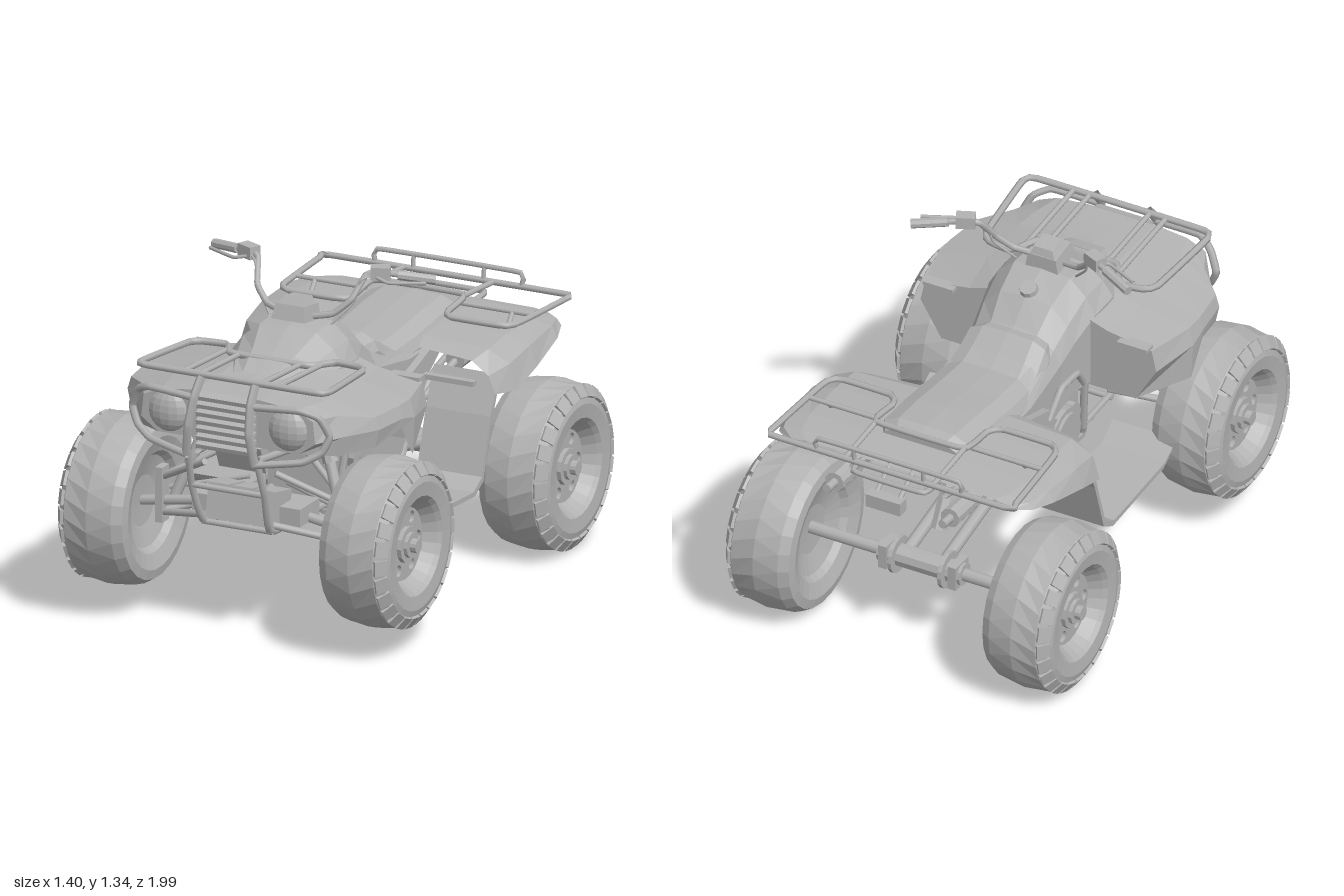
import * as THREE from 'three';

const V = (p) => new THREE.Vector3(...p);

// Faceted normals
function flat(geo) {
  const g = geo.index ? geo.toNonIndexed() : geo;
  g.computeVertexNormals();
  return g;
}

// Bent pipe through a few points
function pipe(pts, r, closed = false, sides = 6) {
  const curve = new THREE.CatmullRomCurve3(pts.map(V), closed, 'catmullrom', 0.18);
  return new THREE.TubeGeometry(curve, pts.length * 6, r, sides, closed);
}

// Straight round rod between two points
function rod(a, b, r, sides = 8) {
  const d = V(b).sub(V(a));
  const g = new THREE.CylinderGeometry(r, r, d.length(), sides);
  g.applyQuaternion(new THREE.Quaternion().setFromUnitVectors(V([0, 1, 0]), d.clone().normalize()));
  const m = V(a).add(V(b)).multiplyScalar(0.5);
  return g.translate(m.x, m.y, m.z);
}

function box(w, h, d, x, y, z, rx = 0) {
  return flat(new THREE.BoxGeometry(w, h, d).rotateX(rx).translate(x, y, z));
}

// Mirrored shell: each section is [z, [[x, y], ...]] from the centre line outwards
const fullRow = (h) => [...h.slice(1).reverse().map(([x, y]) => [-x, y]), ...h];
function shell(sections) {
  const pos = [], idx = [];
  const n = sections[0][1].length * 2 - 1;
  sections.forEach(([z, h]) => fullRow(h).forEach(([x, y]) => pos.push(x, y, z)));
  for (let i = 0; i < sections.length - 1; i++) {
    for (let j = 0; j < n - 1; j++) {
      const a = i * n + j, b = a + 1, c = a + n, d = c + 1;
      idx.push(a, c, b, b, c, d);
    }
  }
  const g = new THREE.BufferGeometry();
  g.setAttribute('position', new THREE.Float32BufferAttribute(pos, 3));
  g.setIndex(idx);
  return flat(g);
}

// Flat wall closing one shell section
function wall([z, h]) {
  return new THREE.ShapeGeometry(new THREE.Shape(fullRow(h).map((p) => new THREE.Vector2(...p)))).translate(0, 0, z);
}

// Side outline in (z, y) extruded from x0 to x1
function sidePlate(pts, x0, x1) {
  const s = new THREE.Shape(pts.map(([z, y]) => new THREE.Vector2(z, y)));
  return flat(new THREE.ExtrudeGeometry(s, { depth: x1 - x0, bevelEnabled: false }).rotateY(-Math.PI / 2).translate(x1, 0, 0));
}

export function createModel() {
  const grey = new THREE.MeshStandardMaterial({ color: 0xb2b2b2, side: THREE.DoubleSide });
  grey.name = 'plain grey';
  const model = new THREE.Group();
  model.name = 'quadBike';

  const add = (name, geo, parent = model) => {
    const m = new THREE.Mesh(geo, grey);
    m.name = name;
    parent.add(m);
    return m;
  };
  const pair = (name, geo) => {
    add(name + 'Left', geo);
    add(name + 'Right', geo).scale.x = -1;
  };

  // Wheels, outer face towards +x
  function wheel(name) {
    const g = new THREE.Group();
    g.name = name;
    const N = 26;
    const profile = [[0, -0.07], [0.1, -0.075], [0.18, -0.1], [0.2, -0.125], [0.26, -0.145], [0.298, -0.138], [0.32, -0.1], [0.333, 0],
      [0.32, 0.1], [0.293, 0.13], [0.25, 0.142], [0.195, 0.136], [0.18, 0.12], [0.14, 0.055], [0, 0.045]];
    const tyre = new THREE.LatheGeometry(profile.map((p) => new THREE.Vector2(...p)), N);
    const p = tyre.attributes.position, v = new THREE.Vector3();
    for (let i = 0; i < p.count; i++) {
      v.fromBufferAttribute(p, i);
      if (Math.abs(v.y) < 0.01) v.applyAxisAngle(V([0, 1, 0]), Math.PI / N);
      p.setXYZ(i, v.x, v.y, v.z);
    }
    add('tyre', flat(tyre.rotateZ(-Math.PI / 2)), g);
    for (let i = 0; i < N; i++) {
      const lug = new THREE.BoxGeometry(0.024, 0.055, 0.058).rotateZ(0.62).translate(0.119, 0.293, 0).rotateX((i + 0.5) * 2 * Math.PI / N);
      add('treadLug', flat(lug), g);
    }
    // Rim face with six openings
    const disc = new THREE.Shape().absarc(0, 0, 0.143, 0, Math.PI * 2);
    for (let i = 0; i < 6; i++) {
      const a = i * Math.PI / 3;
      disc.holes.push(new THREE.Path().absarc(0.108 * Math.cos(a), 0.108 * Math.sin(a), 0.023, 0, Math.PI * 2, true));
    }
    add('rimFace', flat(new THREE.ExtrudeGeometry(disc, { depth: 0.015, bevelEnabled: false, curveSegments: 10 }).rotateY(Math.PI / 2).translate(0.062, 0, 0)), g);
    for (const [part, r, x0, x1] of [['hub', 0.072, 0.05, 0.095], ['hubRing', 0.05, 0.09, 0.11], ['hubCap', 0.028, 0.1, 0.135]]) {
      add(part, flat(rod([x0, 0, 0], [x1, 0, 0], r, 12)), g);
    }
    return g;
  }
  for (const [end, y, z] of [['front', 0.432, 0.667], ['rear', 0.335, -0.665]]) {
    for (const [side, s] of [['Left', 1], ['Right', -1]]) {
      const w = wheel(end + 'Wheel' + side);
      w.position.set(s * 0.557, y, z);
      w.scale.x = s;
      model.add(w);
    }
  }

  // Front fenders and nose
  const nose = [
    [0.9, [[0, 1.0], [0.14, 1.0], [0.28, 0.985], [0.36, 0.95], [0.37, 0.86], [0.3, 0.81]]],
    [0.8, [[0, 1.0], [0.14, 1.0], [0.31, 0.98], [0.41, 0.95], [0.44, 0.87], [0.42, 0.79]]],
    [0.69, [[0, 1.005], [0.14, 1.0], [0.33, 0.975], [0.52, 0.93], [0.535, 0.88], [0.52, 0.81]]],
    [0.53, [[0, 1.02], [0.14, 1.01], [0.33, 0.97], [0.54, 0.93], [0.555, 0.88], [0.55, 0.84]]],
    [0.44, [[0, 1.02], [0.16, 1.01], [0.33, 0.97], [0.54, 0.93], [0.56, 0.86], [0.55, 0.71]]],
    [0.24, [[0, 1.0], [0.18, 1.0], [0.3, 0.96], [0.49, 0.93], [0.51, 0.84], [0.42, 0.69]]],
  ];
  add('frontFenders', shell(nose));
  add('noseWall', wall(nose[0]));
  add('fenderRearWall', wall(nose[5]));
  pair('fenderRidge', box(0.13, 0.015, 0.05, 0.42, 0.94, 0.235));
  pair('headlight', flat(new THREE.SphereGeometry(0.084, 14, 10).scale(1, 1, 0.5).translate(0.255, 0.9, 0.895)));
  for (let i = 0; i < 7; i++) add('grilleSlat', box(0.24, 0.018, 0.04, 0, 0.795 + i * 0.032, 0.915, 0.3));

  // Tank and side covers
  add('tankCover', shell([
    [0.66, [[0, 1.012], [0.06, 1.012], [0.1, 1.005], [0.12, 0.98], [0.12, 0.9]]],
    [0.52, [[0, 1.06], [0.09, 1.055], [0.16, 1.02], [0.19, 0.98], [0.2, 0.88]]],
    [0.4, [[0, 1.125], [0.12, 1.115], [0.19, 1.06], [0.235, 1.0], [0.24, 0.82]]],
    [0.27, [[0, 1.135], [0.12, 1.125], [0.19, 1.06], [0.23, 0.99], [0.23, 0.7]]],
    [0.14, [[0, 1.085], [0.11, 1.07], [0.18, 1.0], [0.21, 0.93], [0.21, 0.71]]],
    [0.05, [[0, 1.0], [0.1, 0.99], [0.17, 0.94], [0.2, 0.88], [0.2, 0.68]]],
    [-0.2, [[0, 0.89], [0.12, 0.885], [0.19, 0.87], [0.21, 0.84], [0.21, 0.63]]],
    [-0.4, [[0, 0.89], [0.12, 0.885], [0.19, 0.87], [0.21, 0.84], [0.21, 0.78]]],
  ]));
  add('fuelCap', flat(new THREE.CylinderGeometry(0.034, 0.038, 0.03, 10).rotateX(-0.4).translate(0, 1.098, 0.165)));

  // Seat
  const seatRow = (z, y, w) => [z, [[0, y], [w * 0.6, y - 0.005], [w * 0.9, y - 0.03], [w, y - 0.07], [w * 0.98, y - 0.11]]];
  const seat = [[0.06, 0.99, 0.16], [0.0, 1.0, 0.18], [-0.08, 0.945, 0.19], [-0.14, 0.915, 0.2], [-0.3, 0.925, 0.205],
    [-0.48, 0.945, 0.205], [-0.64, 0.955, 0.2], [-0.69, 0.94, 0.17]].map((s) => seatRow(...s));
  add('seat', shell(seat));
  add('seatFrontWall', wall(seat[0]));
  add('seatBackWall', wall(seat[7]));

  // Rear fenders
  add('rearFenders', shell([
    [-0.29, [[0, 0.86], [0.2, 0.86], [0.43, 0.84], [0.5, 0.79], [0.53, 0.72]]],
    [-0.35, [[0, 0.89], [0.2, 0.89], [0.47, 0.875], [0.56, 0.83], [0.59, 0.73]]],
    [-0.5, [[0, 0.9], [0.2, 0.9], [0.47, 0.89], [0.57, 0.86], [0.6, 0.78]]],
    [-0.7, [[0, 0.9], [0.2, 0.9], [0.47, 0.89], [0.56, 0.875], [0.585, 0.83]]],
    [-0.8, [[0, 0.89], [0.2, 0.89], [0.45, 0.885], [0.53, 0.87], [0.55, 0.845]]],
    [-0.85, [[0, 0.88], [0.2, 0.88], [0.41, 0.878], [0.47, 0.868], [0.49, 0.855]]],
  ]));
  pair('sideGuard', sidePlate([[-0.1, 0.78], [-0.35, 0.86], [-0.4, 0.82], [-0.28, 0.74], [-0.2, 0.56], [-0.16, 0.58], [-0.14, 0.7]], 0.2, 0.24));

  // Footboards rising to the rear fenders
  const board = [[0.36, 0.44], [0.27, 0.385], [-0.13, 0.36], [-0.2, 0.4], [-0.27, 0.62], [-0.34, 0.77]];
  pair('footboard', sidePlate([...board, ...board.map(([z, y]) => [z + 0.012, y + 0.02]).reverse()], 0.25, 0.525));
  pair('footboardBracket', box(0.22, 0.02, 0.03, 0.345, 0.76, -0.265));

  // Engine
  add('engineBlock', box(0.32, 0.3, 0.46, 0, 0.55, 0.03));
  add('engineTop', box(0.24, 0.2, 0.28, 0, 0.74, 0.05));
  add('underTray', box(0.3, 0.02, 0.5, 0, 0.395, 0.09, 0.06));
  pair('clutchCover', flat(rod([0.12, 0.56, 0.07], [0.215, 0.56, 0.07], 0.11, 16)));
  pair('clutchPlate', flat(rod([0.2, 0.56, 0.07], [0.228, 0.56, 0.07], 0.09, 16)));
  pair('crankCover', flat(rod([0.12, 0.57, -0.065], [0.205, 0.57, -0.065], 0.12, 16)));
  pair('starterCover', flat(rod([0.12, 0.57, 0.17], [0.19, 0.57, 0.17], 0.06, 10)));
  pair('sideArch', pipe([[0.215, 0.72, 0.2], [0.222, 0.8, 0.14], [0.22, 0.8, 0.02], [0.21, 0.7, -0.06]], 0.015));

  // Frame pipes and front cage
  pair('lowerFrame', pipe([[0.145, 0.78, 0.95], [0.155, 0.62, 0.9], [0.14, 0.45, 0.82], [0.14, 0.42, 0.33], [0.16, 0.38, -0.12], [0.18, 0.45, -0.2], [0.18, 0.78, -0.36]], 0.015));
  pair('downTube', pipe([[0.16, 0.42, 0.3], [0.19, 0.72, 0.26]], 0.015));
  pair('upperFrame', pipe([[0.13, 0.76, 0.9], [0.16, 0.72, 0.5], [0.18, 0.7, 0.25]], 0.015));
  for (const [y, z] of [[0.62, 0.9], [0.45, 0.82], [0.43, 0.68], [0.42, 0.55], [0.42, 0.4]]) {
    add('cageBar', rod([-0.15, y, z], [0.15, y, z], 0.012));
  }
  add('frontGearCase', box(0.46, 0.07, 0.16, 0, 0.495, 0.67));
  for (const x of [-0.1, 0, 0.1]) add('gearCaseRib', box(0.085, 0.14, 0.14, x, 0.515, 0.73, -0.2));
  add('radiator', box(0.2, 0.12, 0.05, 0, 0.73, 0.78, 0.4));

  // Front suspension
  for (const z of [0.53, 0.8]) {
    pair('upperArm', rod([0.15, 0.68, z], [0.4, 0.54, 0.667], 0.013));
    pair('lowerArm', rod([0.14, 0.47, z], [0.41, 0.4, 0.667], 0.014));
  }
  pair('steeringRod', rod([0.08, 0.56, 0.56], [0.4, 0.48, 0.6], 0.01));
  pair('steeringKnuckle', box(0.03, 0.22, 0.06, 0.4, 0.475, 0.667));
  pair('frontHubShaft', rod([0.2, 0.48, 0.667], [0.5, 0.432, 0.667], 0.02));
  pair('frontShock', rod([0.22, 0.84, 0.56], [0.36, 0.46, 0.64], 0.022));
  pair('frontShockBody', flat(rod([0.22, 0.84, 0.56], [0.28, 0.68, 0.59], 0.032)));

  // Rear axle, swing arm and shock
  add('rearAxle', rod([-0.49, 0.345, -0.665], [0.49, 0.345, -0.665], 0.026, 10));
  add('axleHousing', flat(rod([-0.18, 0.345, -0.665], [0.18, 0.345, -0.665], 0.046, 10)));
  pair('axleDisc', flat(rod([0.1, 0.345, -0.665], [0.116, 0.345, -0.665], 0.075, 16)));
  pair('swingArm', rod([0.08, 0.46, -0.18], [0.08, 0.36, -0.64], 0.026));
  pair('axleClamp', box(0.035, 0.1, 0.1, 0.15, 0.345, -0.665));
  add('rearShock', flat(rod([0, 0.8, -0.32], [0, 0.42, -0.54], 0.036)));
  pair('subFrame', pipe([[0.18, 0.5, -0.2], [0.2, 0.72, -0.42], [0.2, 0.83, -0.86]], 0.014));

  // Mufflers
  pair('muffler', flat(rod([0.25, 0.75, -0.5], [0.25, 0.775, -0.91], 0.04, 10)));
  pair('tailPipe', rod([0.25, 0.775, -0.9], [0.25, 0.78, -0.97], 0.018));
  pair('exhaustPipe', pipe([[0.17, 0.6, -0.15], [0.22, 0.66, -0.3], [0.25, 0.75, -0.52]], 0.016));

  // Tail light
  pair('tailBracket', rod([0.05, 0.88, -0.83], [0.05, 0.81, -0.95], 0.01));
  add('tailLight', box(0.15, 0.055, 0.05, 0, 0.795, -0.96));
  add('tailBar', pipe([[-0.16, 0.87, -0.83], [-0.15, 0.875, -0.94], [0.15, 0.875, -0.94], [0.16, 0.87, -0.83]], 0.012));

  // Front rack
  const fr = (x, z) => [x, 1.03 + (z - 0.45) * 0.07, z];
  add('frontRackRail', pipe([fr(-0.36, 0.88), fr(0.36, 0.88), fr(0.4, 0.83), fr(0.37, 0.5), fr(0.33, 0.46), fr(0.23, 0.45), fr(0.17, 0.55), fr(0, 0.56),
    fr(-0.17, 0.55), fr(-0.23, 0.45), fr(-0.33, 0.46), fr(-0.37, 0.5), fr(-0.4, 0.83)], 0.014, true));
  pair('frontRackInnerBar', rod(fr(0.13, 0.88), fr(0.13, 0.55), 0.011));
  pair('frontRackOuterBar', rod(fr(0.2, 0.88), fr(0.2, 0.5), 0.011));

  // Bumper
  pair('bumperLoop', pipe([[0.12, 0.985, 0.945], [0.32, 0.995, 0.93], [0.385, 0.965, 0.895], [0.42, 0.89, 0.875], [0.39, 0.825, 0.89], [0.32, 0.785, 0.92], [0.14, 0.76, 0.965]], 0.015));
  pair('bumperUpright', pipe([[0.115, 1.055, 0.9], [0.12, 0.99, 0.95], [0.13, 0.88, 0.98], [0.145, 0.76, 0.965]], 0.019, false, 4));

  // Rear rack
  add('rearRackRail', pipe([[-0.5, 0.92, -0.935], [0.5, 0.92, -0.935], [0.525, 0.92, -0.9], [0.5, 0.925, -0.54], [0.46, 0.925, -0.485], [0.24, 0.925, -0.485], [0.2, 0.925, -0.53], [0.19, 0.945, -0.695],
    [-0.19, 0.945, -0.695], [-0.2, 0.925, -0.53], [-0.24, 0.925, -0.485], [-0.46, 0.925, -0.485], [-0.5, 0.925, -0.54], [-0.525, 0.92, -0.9]], 0.013, true));
  pair('rearRackBar', rod([0.19, 0.94, -0.69], [0.19, 0.92, -0.935], 0.011));
  pair('rearRackCrossbar', rod([0.2, 0.925, -0.65], [0.51, 0.925, -0.65], 0.01));
  pair('rearRackPost', rod([0.42, 0.87, -0.6], [0.42, 0.925, -0.65], 0.01));
  add('rearRackBackRail', pipe([[-0.31, 0.92, -0.935], [-0.3, 0.975, -0.94], [0.3, 0.975, -0.94], [0.31, 0.92, -0.935]], 0.01));
  pair('backRailPost', rod([0.15, 0.92, -0.935], [0.15, 0.975, -0.94], 0.009));

  // Handlebar and controls
  add('steeringColumn', rod([0, 0.95, 0.4], [0, 1.17, 0.31], 0.03));
  add('instrumentPod', flat(new THREE.CylinderGeometry(0.085, 0.1, 0.06, 4).rotateY(Math.PI / 4).rotateX(-0.15).translate(0, 1.165, 0.33)));
  add('instrumentTop', flat(new THREE.CylinderGeometry(0.055, 0.08, 0.035, 4).rotateY(Math.PI / 4).rotateX(-0.15).translate(0, 1.205, 0.32)));
  pair('handlebar', pipe([[0, 1.155, 0.32], [0.06, 1.15, 0.32], [0.14, 1.165, 0.3], [0.2, 1.22, 0.265], [0.23, 1.305, 0.2], [0.28, 1.315, 0.175], [0.46, 1.29, 0.095]], 0.013));
  pair('grip', flat(rod([0.34, 1.305, 0.15], [0.47, 1.288, 0.092], 0.019)));
  pair('switchBox', flat(new THREE.BoxGeometry(0.075, 0.05, 0.05).rotateY(0.42).translate(0.28, 1.315, 0.178)));
  pair('brakeLever', pipe([[0.26, 1.305, 0.2], [0.33, 1.29, 0.21], [0.46, 1.29, 0.15]], 0.007));
  pair('controlCable', pipe([[0.26, 1.31, 0.2], [0.225, 1.29, 0.23], [0.2, 1.2, 0.25], [0.13, 1.12, 0.3]], 0.005));

  return model;
}
